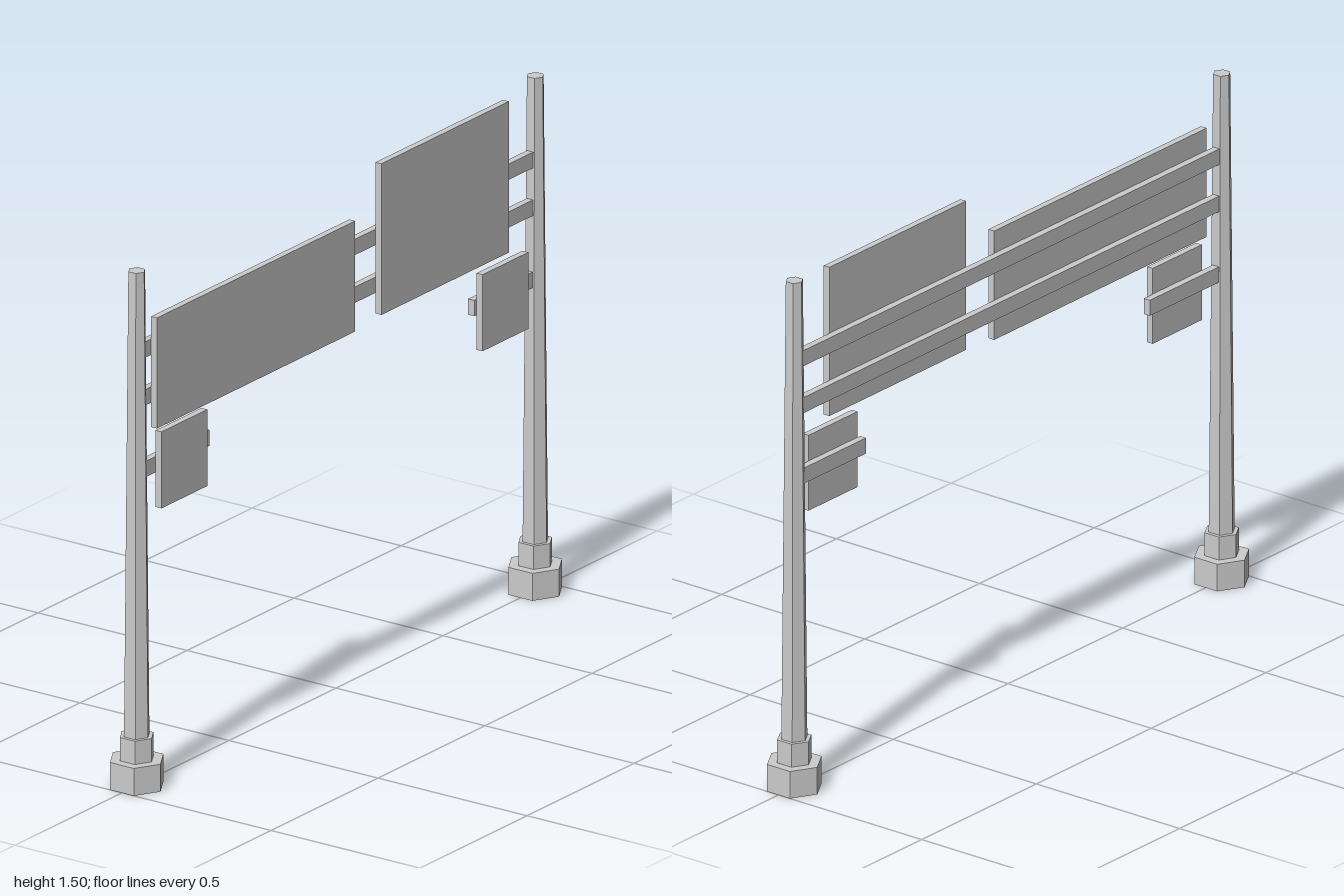
import * as THREE from 'three';

const metal = new THREE.MeshStandardMaterial({ color: 0xcccccc, flatShading: true });
const openMetal = new THREE.MeshStandardMaterial({ color: 0xcccccc, flatShading: true, side: THREE.DoubleSide });

// Box given by its limits on each axis
function slab(name, x0, x1, y0, y1, z0, z1) {
  const mesh = new THREE.Mesh(new THREE.BoxGeometry(x1 - x0, y1 - y0, z1 - z0), metal);
  mesh.position.set((x0 + x1) / 2, (y0 + y1) / 2, (z0 + z1) / 2);
  mesh.name = name;
  return mesh;
}

const beam = (name, x0, x1, y) => slab(name, x0, x1, y - 0.023, y + 0.023, -0.011, 0.01);
const panel = (name, x0, x1, y0, y1) => slab(name, x0, x1, y0, y1, 0.01, 0.03);

export function createModel() {
  const group = new THREE.Group();
  group.name = 'signGantry';

  // Tapered hexagonal posts on stepped feet, open underneath
  const profile = [
    [0.08, 0], [0.08, 0.08], [0.05, 0.08], [0.05, 0.148],
    [0.038, 0.148], [0.025, 1.5], [0, 1.5],
  ].map(([r, y]) => new THREE.Vector2(r, y));
  const postGeometry = new THREE.LatheGeometry(profile, 6);
  for (const side of [-1, 1]) {
    const post = new THREE.Mesh(postGeometry, openMetal);
    post.name = side > 0 ? 'leftPost' : 'rightPost';
    post.position.x = side * 0.931;
    group.add(post);
  }

  // Beams spanning the posts, and short arms below
  group.add(
    beam('upperBeam', -0.93, 0.93, 1.263),
    beam('lowerBeam', -0.93, 0.93, 1.124),
    beam('rightArm', -0.93, -0.604, 0.915),
    beam('leftArm', 0.632, 0.93, 0.915),
  );

  // Blank sign panels on the front of the beams and arms
  group.add(
    panel('wideSign', -0.878, 0.048, 1.03, 1.352),
    panel('tallSign', 0.17, 0.766, 1.041, 1.481),
    panel('rightSmallSign', -0.857, -0.643, 0.791, 1.014),
    panel('leftSmallSign', 0.643, 0.857, 0.791, 1.014),
  );
  return group;
}
